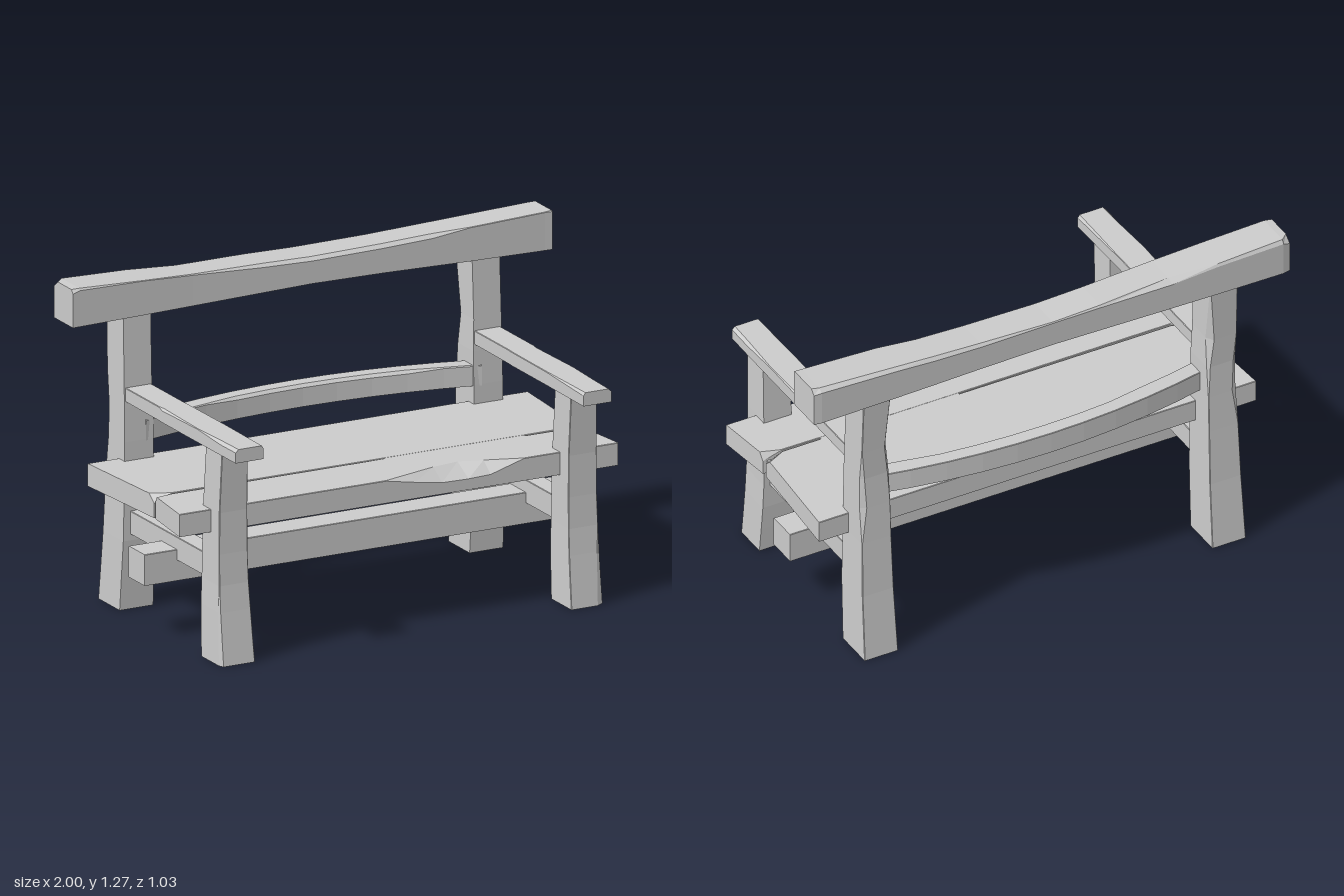
import * as THREE from 'three';

const material = new THREE.MeshStandardMaterial({ color: 0xcccccc, flatShading: true });
const E = 0.002; // smallest edge bevel

// One cross-section at position t along an axis. It spans a0..a1 and b0..b1,
// with a chip on the (a1, b1) corner and another on the (a0, b1) corner.
function section(axis, [t, a0, a1, b0, b1, chip1 = [E, E], chip0 = [E, E]]) {
  const sa = Math.sign(a1 - a0), sb = Math.sign(b1 - b0);
  return [
    [a0, b0], [a1, b0],
    [a1, b1 - sb * chip1[1]], [a1 - sa * chip1[0], b1],
    [a0 + sa * chip0[0], b1], [a0, b1 - sb * chip0[1]],
  ].map(([a, b]) =>
    axis === 'x' ? new THREE.Vector3(t, b, a)
      : axis === 'y' ? new THREE.Vector3(a, t, b)
        : new THREE.Vector3(a, b, t));
}

// Hewn timber: joins the sections along an axis and caps both ends.
function timber(name, axis, stations, warp) {
  const rings = stations.map((s) => section(axis, s));
  if (warp) rings.flat().forEach(warp);
  const tris = [], n = rings[0].length;
  for (let i = 0; i < rings.length - 1; i++) {
    for (let j = 0; j < n; j++) {
      const k = (j + 1) % n, p = rings[i], q = rings[i + 1];
      tris.push([p[j], p[k], q[k]], [p[j], q[k], q[j]]);
    }
  }
  const first = rings[0], last = rings[rings.length - 1];
  for (let j = 1; j < n - 1; j++) {
    tris.push([first[0], first[j + 1], first[j]], [last[0], last[j], last[j + 1]]);
  }
  // Signed volume tells whether the corners run the right way round.
  const cross = new THREE.Vector3();
  const volume = tris.reduce((sum, [a, b, c]) => sum + a.dot(cross.crossVectors(b, c)), 0);
  if (volume < 0) tris.forEach((t) => t.reverse());
  const geometry = new THREE.BufferGeometry().setFromPoints(tris.flat());
  geometry.computeVertexNormals();
  const mesh = new THREE.Mesh(geometry, material);
  mesh.name = name;
  return mesh;
}

export function createModel() {
  const bench = new THREE.Group();
  bench.name = 'bench';

  // Legs, armrests and side stretchers, mirrored left and right
  for (const s of [1, -1]) {
    const side = s > 0 ? 'left' : 'right';
    const nick = s > 0 ? 1 : 0.3;

    // [height, inner x, outer x, back z, front z, outer front chip]
    const front = [
      [0, 0.66, 0.8, 0.28, 0.435, [0.03 * nick, 0.02]],
      [0.1, 0.662, 0.797, 0.272, 0.422, [0.022 * nick, 0.015]],
      [0.2, 0.664, 0.794, 0.265, 0.41, [0.014 * nick, 0.01]],
      [0.3, 0.667, 0.79, 0.264, 0.4],
      [0.42, 0.669, 0.788, 0.264, 0.395],
      [0.58, 0.67, 0.787, 0.27, 0.395],
      [0.81, 0.674, 0.782, 0.284, 0.406],
    ];
    // [height, inner x, outer x, front z, back z, outer and inner back chips]
    const back = [
      [0, 0.66, 0.8, -0.35, -0.515],
      [0.27, 0.664, 0.795, -0.331, -0.489],
      [0.5, 0.667, 0.79, -0.331, -0.477],
      [0.65, 0.668, 0.789, -0.332, -0.471, [0.022, 0.016]],
      [0.78, 0.668, 0.788, -0.335, -0.466, [0.014, 0.012], [0.01, 0.01]],
      [0.9, 0.672, 0.787, -0.34, -0.47, undefined, [0.02, 0.03]],
      [1.15, 0.67, 0.785, -0.35, -0.481],
    ];
    const mirror = ([y, a, b, ...rest]) => [y, a * s, b * s, ...rest];
    bench.add(timber(side + 'FrontLeg', 'y', front.map(mirror)));
    bench.add(timber(side + 'BackLeg', 'y', back.map(mirror)));

    bench.add(timber(side + 'Armrest', 'z', [
      [-0.38, 0.674, 0.782, 0.805, 0.857],
      [-0.08, 0.674, 0.782, 0.804, 0.857],
      [-0.05, 0.672, 0.784, 0.804, 0.857, [0.008, 0.008]],
      [0.22, 0.67, 0.785, 0.805, 0.857],
      [0.4, 0.668, 0.785, 0.805, 0.857, [0.01, 0.012], [0.006, 0.008]],
      [0.515, 0.667, 0.784, 0.805, 0.857, [0.012, 0.012], [0.008, 0.012]],
    ].map(mirror)));

    bench.add(timber(side + 'Stretcher', 'z', [
      [-0.4, 0.69, 0.765, 0.295, 0.383],
      [0.3, 0.69, 0.765, 0.295, 0.383],
    ].map(mirror)));
  }

  // Long stretcher resting under the side stretchers
  bench.add(timber('longStretcher', 'x', [
    [-0.9, -0.095, 0.028, 0.215, 0.335],
    [0.88, -0.095, 0.028, 0.215, 0.335],
  ]));

  // Seat: two planks with a crack between, ends flaring to front and back
  const flare = (p) => {
    const spread = p.z > 0.087 ? (p.z - 0.087) / 0.243 : (0.087 - p.z) / 0.43;
    p.x *= 0.89 + 0.028 * spread;
    if (p.x > 0) p.x -= 0.006;
  };
  const worn = [0.035, 0.03];
  bench.add(timber('backSeatPlank', 'x', [
    [-1, -0.375, 0.082, 0.49, 0.577, worn],
    [-0.92, -0.375, 0.084, 0.49, 0.577],
    [0.05, -0.375, 0.085, 0.49, 0.577],
    [0.92, -0.375, 0.084, 0.49, 0.577],
    [1, -0.375, 0.08, 0.49, 0.577, worn],
  ], flare));
  bench.add(timber('frontSeatPlank', 'x', [
    [-1, 0.095, 0.33, 0.49, 0.577, undefined, [0.012, 0.02]],
    [-0.92, 0.093, 0.33, 0.49, 0.577],
    [-0.06, 0.091, 0.33, 0.49, 0.577],
    [0.08, 0.09, 0.33, 0.49, 0.577, [0.035, 0.025]],
    [0.2, 0.09, 0.33, 0.49, 0.577, [0.065, 0.043]],
    [0.32, 0.09, 0.33, 0.49, 0.577, [0.08, 0.045]],
    [0.42, 0.09, 0.33, 0.49, 0.577, [0.05, 0.042]],
    [0.57, 0.09, 0.33, 0.49, 0.577],
    [0.92, 0.093, 0.33, 0.49, 0.577],
    [1, 0.1, 0.33, 0.49, 0.577, undefined, [0.02, 0.03]],
  ], flare));
  // Solid wood under the crack and where the crack closes
  bench.add(timber('crackFloor', 'x', [
    [-0.87, 0.07, 0.11, 0.491, 0.545], [0.87, 0.07, 0.11, 0.491, 0.545],
  ]));
  bench.add(timber('crackEnd', 'x', [
    [0.07, 0.07, 0.11, 0.5, 0.5765], [0.65, 0.07, 0.11, 0.5, 0.5765],
  ]));

  // Lower back rail, bowed backwards between the back legs
  const bow = [];
  for (let i = 0; i <= 10; i++) {
    const u = i / 5 - 1, z = -0.365 - 0.085 * (1 - u * u);
    const chip = i > 2 && i < 9 ? 0.012 : 0.004;
    bow.push([u * 0.7, z - 0.035, z + 0.035, 0.645, 0.73 - 0.006 * u * u, [chip, chip]]);
  }
  bench.add(timber('lowerBackRail', 'x', bow));

  // Top rail, sagging in the middle, with worn upper edges
  // [x, back z, front z, bottom, top, front chip, back chip]
  bench.add(timber('topRail', 'x', [
    [-1, -0.488, -0.34, 1.12, 1.265, [0.012, 0.015], [0.03, 0.025]],
    [-0.97, -0.495, -0.341, 1.12, 1.267, [0.006, 0.008], [0.01, 0.015]],
    [-0.7, -0.497, -0.343, 1.124, 1.257, undefined, [0.006, 0.01]],
    [-0.5, -0.498, -0.344, 1.128, 1.25, [0.003, 0.004], [0.026, 0.016]],
    [-0.2, -0.498, -0.345, 1.134, 1.243, [0.014, 0.012], [0.006, 0.008]],
    [0, -0.498, -0.345, 1.138, 1.238, [0.016, 0.013], [0.003, 0.004]],
    [0.3, -0.498, -0.345, 1.134, 1.243, [0.016, 0.014], [0.01, 0.012]],
    [0.5, -0.498, -0.344, 1.129, 1.25, [0.016, 0.014], [0.012, 0.014]],
    [0.66, -0.497, -0.343, 1.125, 1.256, undefined, [0.014, 0.012]],
    [0.97, -0.496, -0.341, 1.12, 1.268, undefined, [0.018, 0.014]],
    [1, -0.492, -0.34, 1.12, 1.27, [0.004, 0.004], [0.02, 0.02]],
  ]));

  return bench;
}
